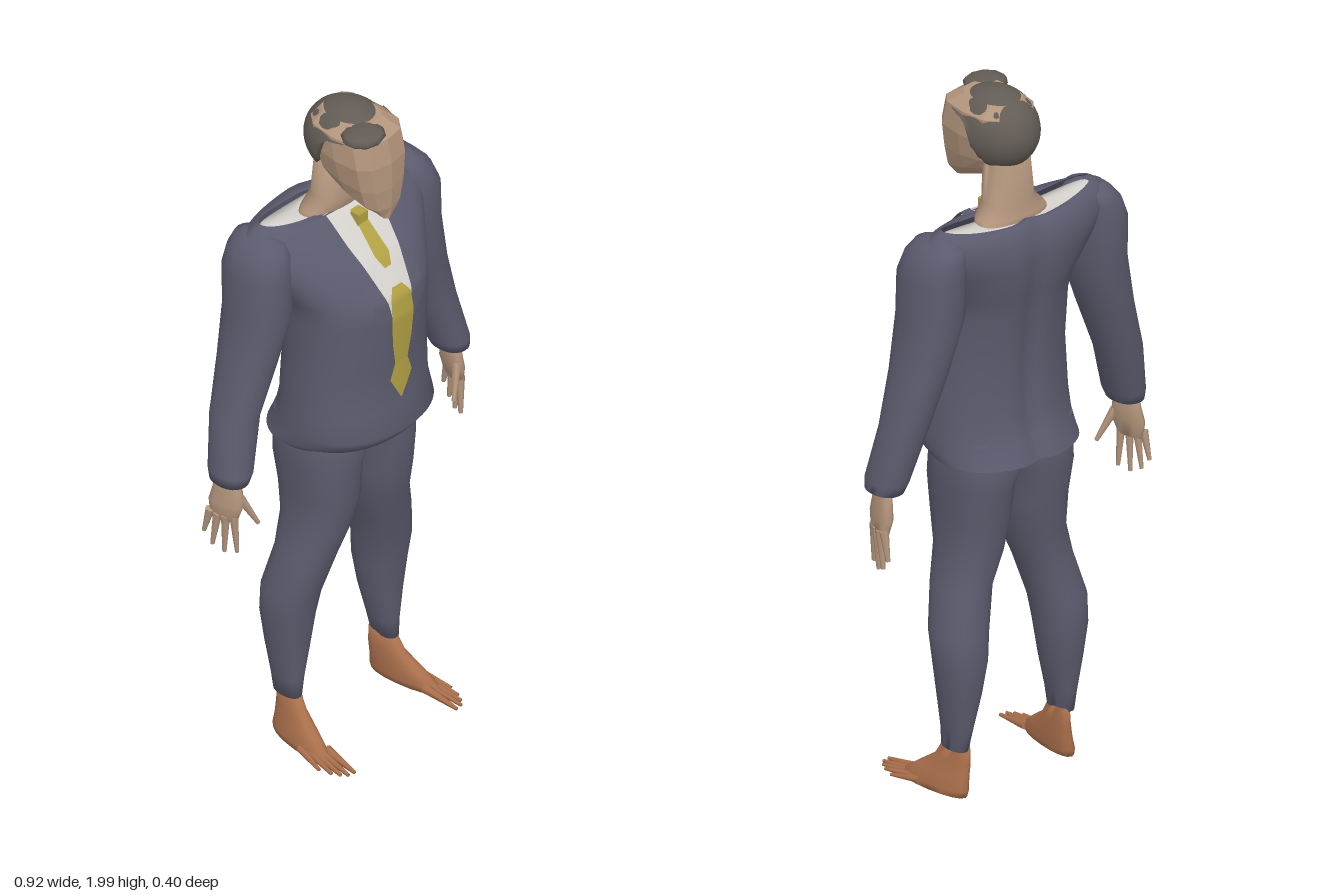
import * as THREE from 'three';

const material = (name, color, side = THREE.FrontSide) => {
  const m = new THREE.MeshStandardMaterial({ color, side });
  m.name = name;
  return m;
};

// Linear interpolation in a table of rows keyed by height
function sample(rows, y) {
  let i = 0;
  while (i < rows.length - 2 && y > rows[i + 1][0]) i++;
  const t = (y - rows[i][0]) / (rows[i + 1][0] - rows[i][0]);
  return rows[i].map((v, k) => v + (rows[i + 1][k] - v) * t);
}

const bend = (v, p) => Math.sign(v) * Math.abs(v) ** (2 / p);

// Surface through horizontal sections [y, xMin, xMax, zBack, zFront], listed upwards
function loft(rings, { n = 24, power = 2.2, flat = false, caps = true, tweak } = {}) {
  const pos = [], idx = [], v = new THREE.Vector3();
  for (const r of rings) {
    const [y, x0, x1, z0, z1] = r;
    for (let j = 0; j < n; j++) {
      const a = (j / n) * Math.PI * 2;
      v.set((x0 + x1) / 2 + (x1 - x0) / 2 * bend(Math.cos(a), power), y,
        (z0 + z1) / 2 + (z1 - z0) / 2 * bend(Math.sin(a), power));
      if (tweak) tweak(v, r);
      pos.push(v.x, v.y, v.z);
    }
  }
  const last = (rings.length - 1) * n;
  for (let i = 0; i < last; i += n) for (let j = 0; j < n; j++) {
    const a = i + j, c = i + (j + 1) % n;
    idx.push(a, a + n, c, c, a + n, c + n);
  }
  if (caps) for (let j = 1; j < n - 1; j++) {
    idx.push(0, j, j + 1, last, last + j + 1, last + j);
  }
  let g = new THREE.BufferGeometry();
  g.setAttribute('position', new THREE.Float32BufferAttribute(pos, 3));
  g.setIndex(idx);
  if (flat) g = g.toNonIndexed();
  g.computeVertexNormals();
  return g;
}

// Symmetric sections [y, halfWidth, zBack, zFront, extra]
const centred = rows => rows.map(([y, w, b, f, e = 0]) => [y, -w, w, b, f, e]);
// Sections for one side of the body
const sided = (rows, s) => rows.map(([y, a, b, ...z]) => s > 0 ? [y, a, b, ...z] : [y, -b, -a, ...z]);

const jacketRings = centred([
  [0.975, 0.21, -0.2, 0.11], [1.0, 0.215, -0.19, 0.17], [1.04, 0.215, -0.175, 0.2],
  [1.1, 0.213, -0.155, 0.172], [1.25, 0.205, -0.15, 0.172], [1.4, 0.207, -0.165, 0.18],
  [1.46, 0.217, -0.178, 0.172], [1.555, 0.27, -0.195, 0.105], [1.625, 0.31, -0.19, 0.035],
  [1.67, 0.29, -0.165, -0.01], [1.69, 0.25, -0.14, -0.035, 0.03]]);
const dipRim = (v, r) => { v.y -= r[5] * (1 - (v.x / r[2]) ** 2); };

// Thin panel lying on the jacket front; rows are [y, xMin, xMax]
function frontPanel(rows, lift, nx = 8, ny = 36) {
  const g = new THREE.PlaneGeometry(1, 1, nx, ny), p = g.attributes.position;
  const top = rows[rows.length - 1][0], bottom = rows[0][0];
  for (let i = 0; i < p.count; i++) {
    const y = bottom + (top - bottom) * (p.getY(i) + 0.5);
    const [, a, b] = sample(rows, y), x = a + (b - a) * (p.getX(i) + 0.5);
    const [, , w, z0, z1, dip] = sample(jacketRings, y);
    const depth = (1 - Math.abs(x / w) ** 2.2) ** (1 / 2.2);
    p.setXYZ(i, x, y - dip * (1 - (x / w) ** 2) + lift * 0.4, (z0 + z1) / 2 + (z1 - z0) / 2 * depth + lift);
  }
  g.computeVertexNormals();
  return g;
}

// Tapered finger or toe between two points
function digit(a, b, r0, r1) {
  const from = new THREE.Vector3(...a), dir = new THREE.Vector3(...b).sub(from);
  const g = new THREE.CylinderGeometry(r1, r0, dir.length(), 6);
  g.translate(0, dir.length() / 2, 0);
  g.applyQuaternion(new THREE.Quaternion().setFromUnitVectors(new THREE.Vector3(0, 1, 0), dir.normalize()));
  return g.translate(...a);
}

export function createModel() {
  const suit = material('suit cloth', 0x5b5b6e, THREE.DoubleSide);
  const shirt = material('shirt white', 0xd6d3ce, THREE.DoubleSide);
  const gold = material('tie gold', 0xb2a244, THREE.DoubleSide);
  const skin = material('skin', 0xb4967d);
  const footSkin = material('foot skin', 0xab704c);
  const hairMat = material('hair', 0x625c55);
  const model = new THREE.Group();
  const add = (name, geometry, mat, parent = model) => {
    const m = new THREE.Mesh(geometry, mat);
    m.name = name;
    parent.add(m);
    return m;
  };

  // Jacket body with a wide neck opening and a groove down the back
  add('jacket', loft(jacketRings, {
    n: 64, caps: false,
    tweak: (v, r) => {
      dipRim(v, r);
      if (v.z < -0.1) v.z += 0.018 * Math.exp(-((v.x / 0.03) ** 2));
    },
  }), suit);
  add('shirtTop', loft(centred([[1.64, 0.24, -0.13, -0.04, 0.03], [1.676, 0.248, -0.138, -0.037, 0.03],
    [1.652, 0.1, -0.12, -0.05]]), { n: 40, tweak: dipRim }), shirt);
  add('shirtFront', frontPanel([[1.2, -0.004, 0.004], [1.3, -0.025, 0.025], [1.45, -0.045, 0.045],
    [1.6, -0.08, 0.08], [1.68, -0.09, 0.09]], 0.006), shirt);

  // Tie
  add('tieUpper', frontPanel([[1.53, -0.012, 0.012], [1.56, -0.025, 0.025], [1.66, -0.015, 0.015]], 0.012), gold);
  add('tieLower', frontPanel([[1.13, -0.002, 0.002], [1.2, -0.04, 0.04], [1.25, -0.023, 0.023],
    [1.32, -0.035, 0.035], [1.4, -0.04, 0.04], [1.46, -0.036, 0.036], [1.485, -0.018, 0.018]], 0.012), gold);
  add('tieKnot', new THREE.BoxGeometry(0.035, 0.035, 0.03).translate(0, 1.645, 0.03), gold);

  // Neck and faceted head
  add('neck', loft(centred([[1.62, 0.13, -0.125, -0.03], [1.665, 0.108, -0.12, -0.005],
    [1.7, 0.076, -0.11, 0], [1.83, 0.066, -0.1, 0]])), skin);
  add('head', loft(centred([[1.695, 0.022, -0.03, 0.14, 0.4], [1.735, 0.066, -0.05, 0.147, 0.3],
    [1.8, 0.084, -0.07, 0.15, 0.1], [1.88, 0.098, -0.08, 0.148], [1.95, 0.095, -0.1, 0.133],
    [1.98, 0.06, -0.08, 0.085]]), {
    n: 12, power: 3, flat: true,
    tweak: (v, r) => { v.y += r[5] * (r[4] - v.z); },
  }), skin);

  // Hair cap cut along the hairline, plus the swept forelock
  const hair = new THREE.SphereGeometry(1, 40, 28);
  hair.scale(0.108, 0.112, 0.132).translate(0, 1.888, -0.006);
  const hp = hair.attributes.position;
  const hairline = [[-0.2, 1.8], [-0.06, 1.8], [-0.025, 1.87], [0, 1.94], [0.2, 1.955]];
  for (let i = 0; i < hp.count; i++) {
    hp.setY(i, Math.max(hp.getY(i), sample(hairline, hp.getZ(i))[1]));
  }
  hair.computeVertexNormals();
  add('hair', hair, hairMat);
  const forelock = add('forelock', new THREE.SphereGeometry(1, 10, 6).scale(0.062, 0.021, 0.055), hairMat);
  forelock.position.set(-0.045, 1.965, 0.088);
  forelock.rotation.y = -0.25;

  for (const s of [1, -1]) {
    const side = s > 0 ? 'left' : 'right';
    const flip = ([x, y, z]) => [s * x, y, z];

    // Lapel
    add(side + 'Lapel', frontPanel(sided([[1.2, 0.004, 0.012], [1.4, 0.036, 0.065], [1.43, 0.04, 0.095],
      [1.46, 0.046, 0.09], [1.6, 0.08, 0.112], [1.685, 0.09, 0.125]], s), 0.01), suit);

    // Sleeve
    add(side + 'Sleeve', loft(sided([[0.97, 0.37, 0.458, -0.1, 0.015], [1.0, 0.356, 0.458, -0.11, 0.02],
      [1.15, 0.305, 0.43, -0.135, 0], [1.3, 0.25, 0.388, -0.155, 0.015], [1.45, 0.2, 0.359, -0.17, 0.03],
      [1.57, 0.2, 0.357, -0.175, 0.028], [1.625, 0.2, 0.335, -0.17, 0.015], [1.655, 0.21, 0.308, -0.16, -0.005],
      [1.672, 0.245, 0.282, -0.13, -0.04]], s)), suit);

    // Trouser leg
    add(side + 'TrouserLeg', loft(sided([[0.14, 0.157, 0.207, -0.1, -0.01], [0.2, 0.145, 0.213, -0.11, -0.008],
      [0.3, 0.12, 0.229, -0.126, 0], [0.4, 0.104, 0.241, -0.14, 0.012], [0.48, 0.094, 0.244, -0.136, 0.027],
      [0.6, 0.064, 0.214, -0.116, 0.056], [0.7, 0.026, 0.187, -0.125, 0.08], [0.8, 0.007, 0.189, -0.14, 0.1],
      [0.9, 0.001, 0.199, -0.155, 0.105], [0.95, -0.03, 0.2, -0.158, 0.105],
      [1.04, -0.03, 0.2, -0.15, 0.1]], s)), suit);

    // Hand: palm twisted so the thumb side faces inward
    const hand = new THREE.Group();
    hand.name = side + 'Hand';
    model.add(hand);
    add('palm', loft(sided([[0.85, 0.418, 0.446, -0.085, -0.005], [0.9, 0.403, 0.446, -0.095, 0.008],
      [0.94, 0.4, 0.442, -0.085, 0], [1.0, 0.4, 0.44, -0.075, -0.015]], s), {
      n: 12, tweak: v => { v.x -= s * 0.2 * (v.z + 0.045); },
    }), skin, hand);
    [[[0.447, 0.87, -0.08], [0.45, 0.79, -0.1]], [[0.442, 0.865, -0.058], [0.445, 0.757, -0.074]],
      [[0.435, 0.865, -0.036], [0.433, 0.742, -0.042]], [[0.425, 0.865, -0.015], [0.42, 0.75, -0.008]],
      [[0.408, 0.92, -0.01], [0.367, 0.83, 0.018]]].forEach(([a, b], i) =>
      add(i < 4 ? 'finger' : 'thumb', digit(flip(a), flip(b), 0.013, 0.006), skin, hand));

    // Bare foot turned slightly outward
    const foot = new THREE.Group();
    foot.name = side + 'Foot';
    model.add(foot);
    add('footBody', loft(sided([[0.006, 0.165, 0.225, -0.1, 0.11], [0.025, 0.16, 0.228, -0.104, 0.115],
      [0.06, 0.16, 0.218, -0.1, 0.07], [0.1, 0.16, 0.208, -0.1, 0.015], [0.15, 0.162, 0.203, -0.097, -0.015]], s), {
      n: 16, tweak: v => { v.x += s * 0.12 * v.z; },
    }), footSkin, foot);
    [[0.185, 0.09, 0.192, 0.2, 0.014], [0.202, 0.08, 0.212, 0.197, 0.011], [0.214, 0.07, 0.226, 0.182, 0.011],
      [0.222, 0.055, 0.238, 0.16, 0.01], [0.23, 0.035, 0.248, 0.125, 0.01]].forEach(([x0, z0, x1, z1, r]) =>
      add('toe', digit(flip([x0, 0.024, z0]), flip([x1, 0.01, z1]), r, 0.005), footSkin, foot));
  }
  return model;
}
